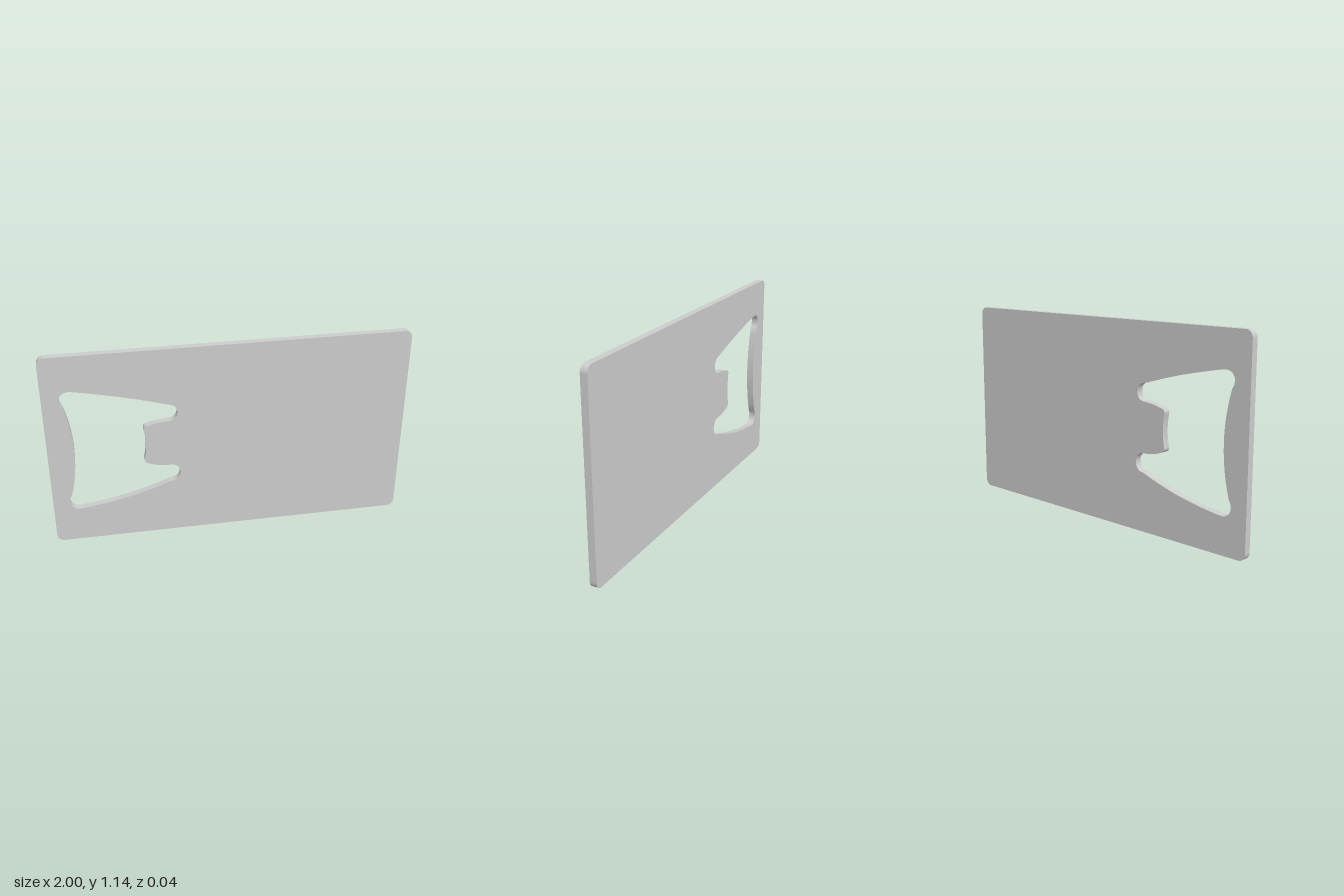
import * as THREE from 'three';
import { toCreasedNormals } from 'three/addons/utils/BufferGeometryUtils.js';

const WIDTH = 2, HEIGHT = 1.14, DEPTH = 0.04, CORNER = 0.04;

// Card outline with rounded corners, standing on y = 0
function cardOutline() {
  const s = new THREE.Shape();
  const x = WIDTH / 2 - CORNER, lo = CORNER, hi = HEIGHT - CORNER;
  s.absarc(x, lo, CORNER, -Math.PI / 2, 0);
  s.absarc(x, hi, CORNER, 0, Math.PI / 2);
  s.absarc(-x, hi, CORNER, Math.PI / 2, Math.PI);
  s.absarc(-x, lo, CORNER, Math.PI, Math.PI * 1.5);
  s.closePath();
  return s;
}

// Opener cut-out: four rounded lobes around a prying tongue
function openerHole() {
  const h = new THREE.Path();
  h.moveTo(-0.835, 0.937);
  h.quadraticCurveTo(-0.57, 0.888, -0.325, 0.812);           // upper edge
  h.bezierCurveTo(-0.30, 0.808, -0.291, 0.785, -0.291, 0.765); // upper right lobe
  h.bezierCurveTo(-0.291, 0.735, -0.31, 0.716, -0.34, 0.716);
  h.quadraticCurveTo(-0.40, 0.712, -0.455, 0.696);           // tongue top
  h.quadraticCurveTo(-0.482, 0.692, -0.477, 0.665);
  h.quadraticCurveTo(-0.459, 0.575, -0.48, 0.487);           // tongue lip
  h.quadraticCurveTo(-0.482, 0.466, -0.457, 0.459);
  h.quadraticCurveTo(-0.40, 0.436, -0.335, 0.437);           // tongue bottom
  h.bezierCurveTo(-0.306, 0.437, -0.284, 0.413, -0.284, 0.385); // lower right lobe
  h.bezierCurveTo(-0.284, 0.355, -0.305, 0.33, -0.34, 0.329);
  h.quadraticCurveTo(-0.58, 0.233, -0.85, 0.205);            // lower edge
  h.bezierCurveTo(-0.885, 0.203, -0.908, 0.228, -0.908, 0.257); // lower left lobe
  h.quadraticCurveTo(-0.908, 0.28, -0.895, 0.295);
  h.quadraticCurveTo(-0.815, 0.572, -0.895, 0.853);          // bowed left edge
  h.quadraticCurveTo(-0.908, 0.866, -0.908, 0.89);           // upper left lobe
  h.bezierCurveTo(-0.908, 0.925, -0.88, 0.946, -0.835, 0.937);
  return h;
}

export function createModel() {
  const group = new THREE.Group();
  group.name = 'cardBottleOpener';

  const shape = cardOutline();
  shape.holes.push(openerHole());
  const flat = new THREE.ExtrudeGeometry(shape, { depth: DEPTH, bevelEnabled: false, curveSegments: 14 });
  flat.translate(0, 0, -DEPTH / 2);

  const plate = new THREE.Mesh(
    toCreasedNormals(flat, Math.PI / 6),
    new THREE.MeshStandardMaterial({ color: 0xcccccc })
  );
  plate.name = 'openerPlate';
  group.add(plate);
  return group;
}
